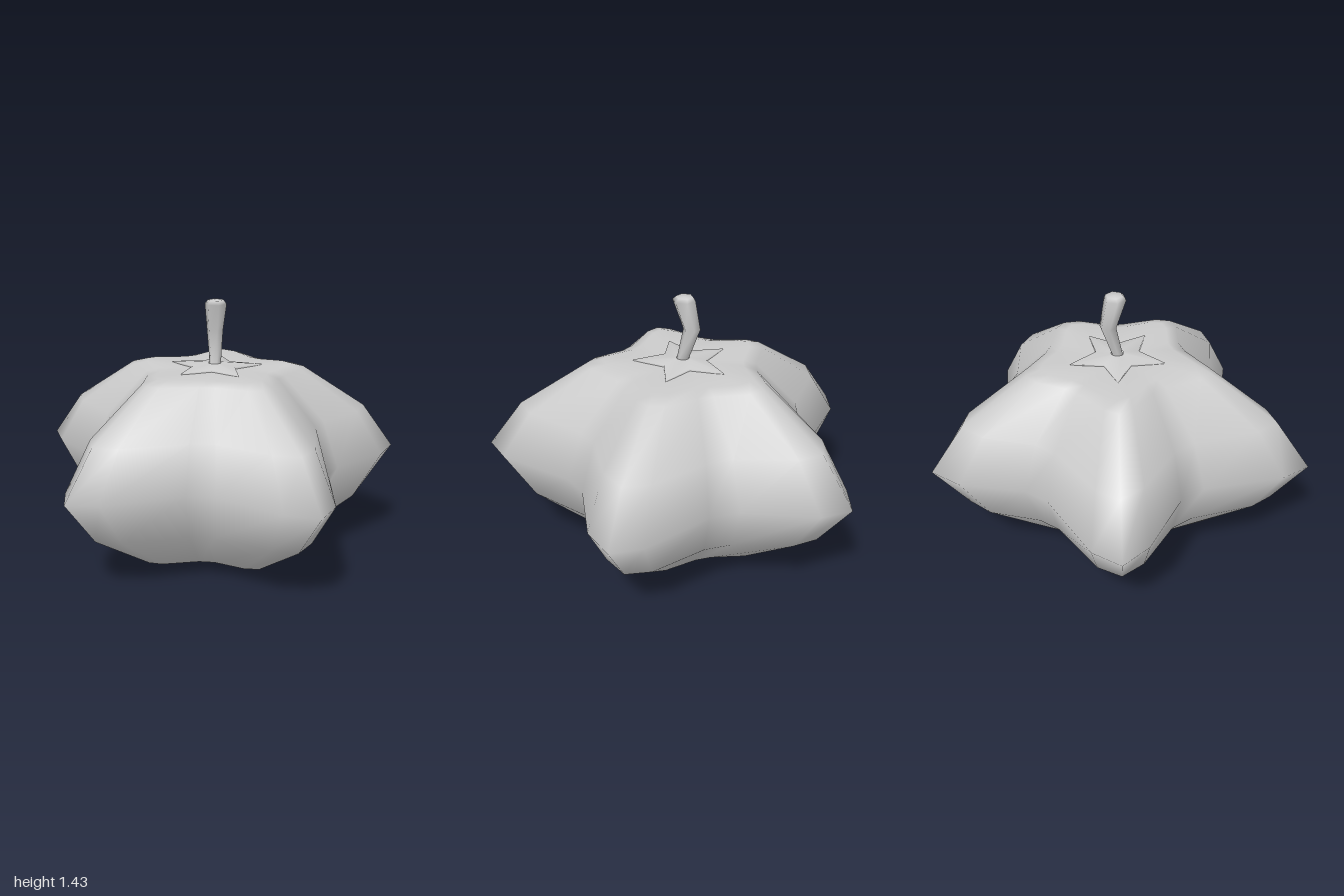
import * as THREE from 'three';

const CX = 0.1; // the axis of the fruit sits a little off centre

// Skin a stack of closed rings, listed from bottom to top, with smooth normals
function loft(rings, name, material) {
  const n = rings[0].length;
  const index = [];
  for (let i = 0; i < rings.length - 1; i++) {
    for (let j = 0; j < n; j++) {
      const k = (j + 1) % n;
      const a = i * n + j, b = i * n + k, c = a + n, d = b + n;
      index.push(a, c, b, b, c, d);
    }
  }
  const geometry = new THREE.BufferGeometry().setFromPoints(rings.flat());
  geometry.setIndex(index);
  geometry.computeVertexNormals();
  const mesh = new THREE.Mesh(geometry, material);
  mesh.name = name;
  return mesh;
}

function circle(x, y, z, r, sides = 6) {
  return Array.from({ length: sides }, (_, i) => {
    const a = (i / sides) * Math.PI * 2;
    return new THREE.Vector3(x + r * Math.cos(a), y, z + r * Math.sin(a));
  });
}

// Ten-cornered star ring for the leaf collars, one tip pointing to -x
function star(tip, notch, yTip, yNotch) {
  return Array.from({ length: 10 }, (_, i) => {
    const a = Math.PI + (i / 10) * Math.PI * 2;
    const r = i % 2 ? notch : tip;
    return new THREE.Vector3(CX + r * Math.cos(a), i % 2 ? yNotch : yTip, r * Math.sin(a));
  });
}

export function createModel() {
  const group = new THREE.Group();
  group.name = 'starFruit';
  const grey = new THREE.MeshStandardMaterial({ color: 0xcccccc });
  const thin = new THREE.MeshStandardMaterial({ color: 0xcccccc, side: THREE.DoubleSide });

  // Five-lobed outline at the equator: one half, then mirrored
  const half = [
    [0.805, 0.08], [0.955, 0.44], [0.945, 0.61], [0.76, 0.665], [0.41, 0.62],
    [0.27, 0.665], [-0.06, 0.955], [-0.23, 1], [-0.32, 0.84], [-0.38, 0.46],
    [-0.47, 0.34], [-0.85, 0.13],
  ];
  const outline = [...half, [-0.96, 0], ...half.map(([x, z]) => [x, -z]).reverse()];

  // Body levels: height, scale of the lobe tips, scale of the valleys, dip of the valleys
  const upper = [
    [0.25, 0.825, 0.88, 0], [0.49, 0.48, 0.56, 0.005], [0.513, 0.40, 0.46, 0.01],
    [0.505, 0.2, 0.24, 0], [0.503, 0, 0, 0],
  ];
  const lower = upper.map(([h, t, v, d]) => [-h, t, v, -d]).reverse();
  const rings = [...lower, [0, 1, 1, 0], ...upper].map(([h, tip, valley, dip]) =>
    outline.map(([x, z]) => {
      const t = THREE.MathUtils.clamp((Math.hypot(x - CX, z) - 0.68) / 0.36, 0, 1);
      const s = THREE.MathUtils.lerp(valley, tip, t);
      return new THREE.Vector3(CX + (x - CX) * s, 0.556 + h - dip * (1 - t), z * s);
    }));
  group.add(loft(rings, 'body', grey));

  // Leaf collars on the top and the underside
  group.add(loft([
    star(0.26, 0.12, 1.06, 1.055), star(0.26, 0.12, 1.068, 1.072),
    star(0.035, 0.035, 1.085, 1.085),
  ], 'topCollar', thin));
  group.add(loft([
    star(0.035, 0.035, 0.027, 0.027), star(0.26, 0.12, 0.044, 0.04),
    star(0.26, 0.12, 0.052, 0.057),
  ], 'bottomCollar', thin));

  // Bent stem, widening to its cut end
  group.add(loft([
    circle(CX, 1.06, 0, 0.04), circle(CX + 0.004, 1.09, 0, 0.032),
    circle(0.138, 1.255, -0.035, 0.045), circle(0.108, 1.405, -0.002, 0.06),
    circle(0.112, 1.425, -0.004, 0.045), circle(0.112, 1.427, -0.004, 0),
  ], 'stem', grey));

  // Blossom nub that the fruit stands on
  const nub = new THREE.Mesh(new THREE.CylinderGeometry(0.032, 0.054, 0.06, 6), grey);
  nub.position.set(CX - 0.01, 0.03, 0);
  nub.name = 'nub';
  group.add(nub);

  return group;
}
